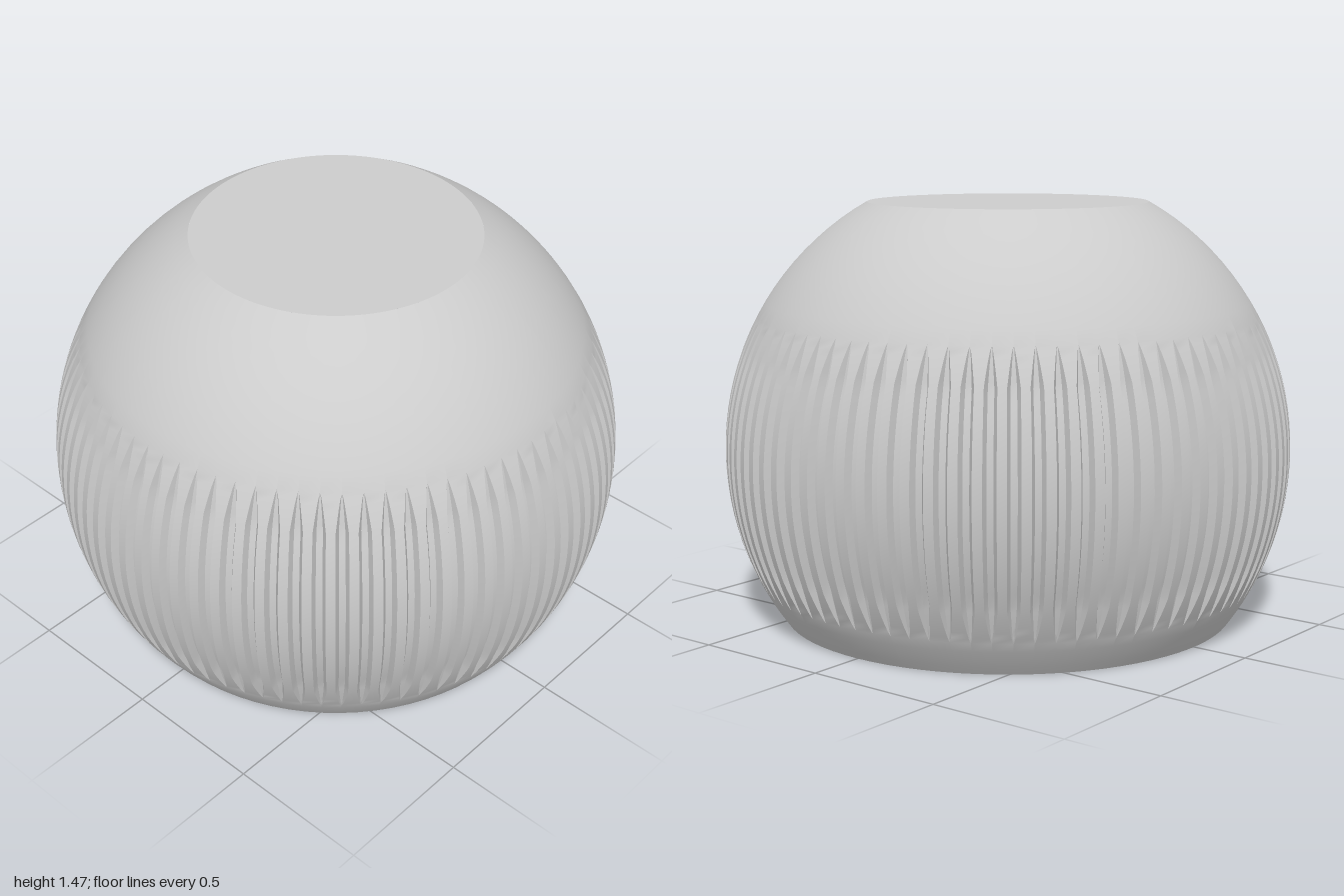
import * as THREE from 'three';
import { toCreasedNormals, mergeVertices } from 'three/addons/utils/BufferGeometryUtils.js';

const CENTRE = 0.6;        // height of the ball's centre, radius 1
const TOP = 1.47;
const FLUTES = 82;
const FLUTE_HALF = 0.475;  // half height of the fluted band
const HOLE_R = 0.157, HOLE_DEPTH = 0.7;

const material = new THREE.MeshStandardMaterial({ color: 0xcccccc });

// Latitudes of the rings, denser where the flutes run out to a point
function ringAngles() {
  const low = Math.asin(-CENTRE), high = Math.asin(TOP - CENTRE);
  const tip = Math.asin(FLUTE_HALF), full = Math.asin(FLUTE_HALF - 0.12);
  const stops = [[low, 4], [-tip, 6], [-full, 14], [full, 6], [tip, 10], [high, 0]];
  const angles = [];
  for (let i = 0; i < stops.length - 1; i++) {
    const [a, n] = stops[i], b = stops[i + 1][0];
    for (let k = 0; k < n; k++) angles.push(a + (b - a) * k / n);
  }
  angles.push(high);
  return angles;
}

// Truncated ball whose skin dips into tapering vertical flutes
function ballGeometry() {
  const rings = ringAngles();
  const section = [[-1, 0], [-0.5, 1], [0.5, 1], [1, 0]]; // flute: offset, depth
  const cols = FLUTES * section.length;
  const positions = [], index = [];
  for (const lat of rings) {
    const run = Math.max(0, FLUTE_HALF - Math.abs(Math.sin(lat)));
    const s = Math.min(1, run / 0.12);
    const half = Math.max(0.015, 0.29 * Math.pow(s, 0.7));
    const depth = 0.026 * Math.pow(s, 0.8);
    for (let f = 0; f < FLUTES; f++) {
      for (const [offset, dip] of section) {
        const theta = (f + offset * half) / FLUTES * Math.PI * 2;
        const r = 1 - dip * depth;
        positions.push(
          r * Math.cos(lat) * Math.cos(theta),
          CENTRE + r * Math.sin(lat),
          -r * Math.cos(lat) * Math.sin(theta));
      }
    }
  }
  for (let i = 0; i < rings.length - 1; i++) {
    for (let j = 0; j < cols; j++) {
      const a = i * cols + j, b = i * cols + (j + 1) % cols;
      index.push(a, b, b + cols, a, b + cols, a + cols);
    }
  }
  const geometry = new THREE.BufferGeometry();
  geometry.setAttribute('position', new THREE.Float32BufferAttribute(positions, 3));
  geometry.setIndex(index);
  return mergeVertices(toCreasedNormals(geometry, 0.45));
}

// Turned surface with sharp corners
function turned(points) {
  const lathe = new THREE.LatheGeometry(points.map(([x, y]) => new THREE.Vector2(x, y)), 128);
  return toCreasedNormals(lathe, 0.5);
}

export function createModel() {
  const model = new THREE.Group();
  model.name = 'flutedKnob';
  const add = (name, geometry) => {
    const mesh = new THREE.Mesh(geometry, material);
    mesh.name = name;
    model.add(mesh);
  };

  add('flutedBall', ballGeometry());

  // Flat top
  const topR = Math.sqrt(1 - (TOP - CENTRE) ** 2);
  add('topFace', turned([[topR, TOP], [0, TOP]]));

  // Flat base with a blind hole
  add('baseWithHole', turned([[0, HOLE_DEPTH], [HOLE_R, HOLE_DEPTH], [HOLE_R, 0], [0.8, 0]]));

  return model;
}
